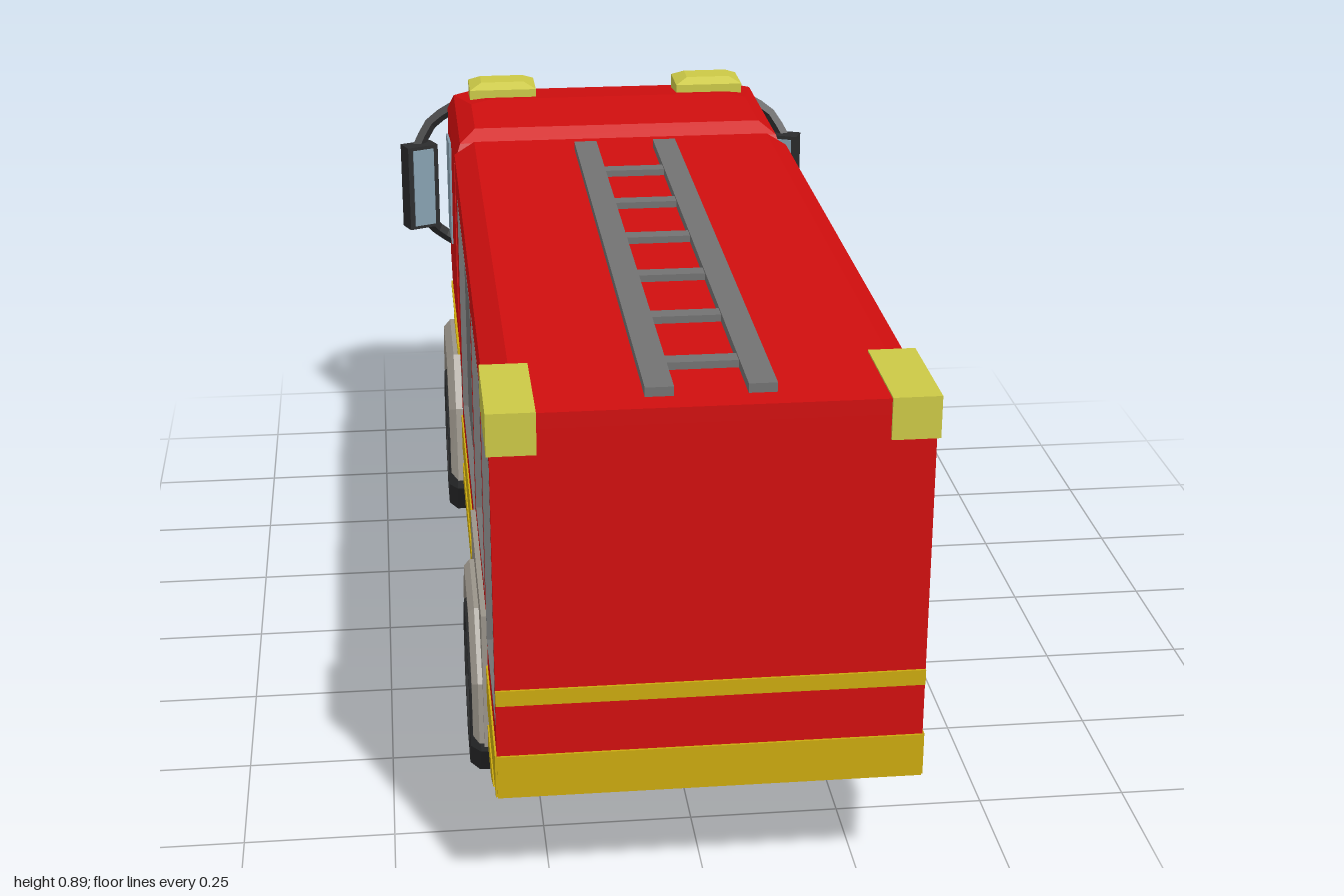
import * as THREE from 'three';

const mat = (name, color) => new THREE.MeshStandardMaterial({ name, color, flatShading: true });
const M = {
  red: mat('red paint', 0xd00e0e),
  yellow: mat('yellow stripe', 0xcaa90f),
  lamp: mat('lamp yellow', 0xcbc846),
  grey: mat('shutter grey', 0x727272),
  trim: mat('warm grey trim', 0x9a948a),
  black: mat('black plastic', 0x2b2c2d),
  glass: mat('window glass', 0x86a0af),
};

export function createModel() {
  const root = new THREE.Group();
  root.name = 'fireTruck';

  const add = (name, geo, material) => {
    const m = new THREE.Mesh(geo, material);
    m.name = name;
    root.add(m);
    return m;
  };
  // box given by its limits
  const box = (name, material, x0, x1, y0, y1, z0, z1) =>
    add(name, new THREE.BoxGeometry(x1 - x0, y1 - y0, z1 - z0)
      .translate((x0 + x1) / 2, (y0 + y1) / 2, (z0 + z1) / 2), material);
  // box on side s, x0 < x1 measured outward
  const sideBox = (name, material, s, x0, x1, y0, y1, z0, z1) =>
    box(name, material, s > 0 ? x0 : -x1, s > 0 ? x1 : -x0, y0, y1, z0, z1);

  const rect = (z0, z1, y0, y1) => [[z0, y0], [z1, y0], [z1, y1], [z0, y1]];
  const vecs = (pts) => pts.map(([a, b]) => new THREE.Vector2(a, b));
  // outline in (z, y), extruded in x from x0 to x1 on side s
  const slab = (name, material, pts, s, x0, x1, holes = [], bevel = 0) => {
    const shape = new THREE.Shape(vecs(pts));
    holes.forEach((h) => shape.holes.push(new THREE.Path(vecs(h))));
    const geo = new THREE.ExtrudeGeometry(shape, {
      depth: x1 - x0 - 2 * bevel, bevelEnabled: bevel > 0, bevelThickness: bevel,
      bevelSize: bevel, bevelOffset: -bevel, bevelSegments: 1,
    });
    geo.translate(0, 0, bevel).rotateY(-Math.PI / 2).translate(s > 0 ? x1 : -x0, 0, 0);
    return add(name, geo, material);
  };

  // stacked horizontal rings, lowest first, with closed ends
  const loft = (name, material, rings) => {
    const p = [];
    const n = rings[0].length;
    const tri = (a, b, c) => p.push(...a, ...b, ...c);
    for (let k = 0; k + 1 < rings.length; k++) {
      for (let i = 0; i < n; i++) {
        const j = (i + 1) % n, lo = rings[k], hi = rings[k + 1];
        tri(lo[i], lo[j], hi[j]);
        tri(lo[i], hi[j], hi[i]);
      }
    }
    const bottom = rings[0], top = rings[rings.length - 1];
    for (let i = 1; i + 1 < n; i++) {
      tri(top[0], top[i], top[i + 1]);
      tri(bottom[0], bottom[i + 1], bottom[i]);
    }
    const geo = new THREE.BufferGeometry();
    geo.setAttribute('position', new THREE.Float32BufferAttribute(p, 3));
    geo.computeVertexNormals();
    return add(name, geo, material);
  };
  // ring with cut front corners
  const ring = (y, back, front, w, cx = 0.04, cz = 0.035) => [
    [w, y, back], [w, y, front + cz], [w - cx, y, front],
    [-w + cx, y, front], [-w, y, front + cz], [-w, y, back]];
  const plain = (y, z0, z1, x0, x1) => [[x1, y, z1], [x1, y, z0], [x0, y, z0], [x0, y, z1]];

  // ---- equipment body
  const outline = [[0.995, 0.21], [0.995, 0.83], [-0.43, 0.83], [-0.43, 0.385],
    [-0.385, 0.385], [-0.40, 0.13], [0.80, 0.13]];
  const shutters = [rect(0.70, 0.98, 0.33, 0.77), rect(0.33, 0.66, 0.40, 0.77), rect(-0.32, 0.28, 0.33, 0.77)];
  slab('bodyCore', M.red, outline, 1, -0.322, 0.322);
  loft('bodyRoof', M.red, [plain(0.83, -0.43, 0.995, -0.335, 0.335), plain(0.855, -0.43, 0.995, -0.295, 0.295)]);
  box('rearArchBlock', M.trim, -0.344, 0.344, 0.129, 0.375, 0.28, 0.70);
  box('rearStripeWide', M.yellow, -0.335, 0.335, 0.21, 0.283, 0.99, 0.999);
  box('rearStripeNarrow', M.yellow, -0.335, 0.335, 0.372, 0.398, 0.99, 0.999);

  // ---- cab
  loft('cab', M.red, [
    ring(0.375, -0.47, -0.971, 0.334), ring(0.45, -0.46, -0.98, 0.336), ring(0.55, -0.455, -0.965, 0.337),
    ring(0.80, -0.465, -0.927, 0.335), ring(0.838, -0.478, -0.89, 0.322), ring(0.86, -0.51, -0.73, 0.29)]);
  loft('cabLowerFront', M.red, [ring(0.24, -0.74, -0.963, 0.332), ring(0.375, -0.74, -0.971, 0.334)]);
  box('cabChassis', M.trim, -0.334, 0.334, 0.129, 0.37, -0.82, -0.41);
  box('cabGapFiller', M.black, -0.334, 0.334, 0.24, 0.38, -0.50, -0.386);
  loft('bumper', M.trim, [
    ring(0.13, -0.78, -0.92, 0.335, 0.07, 0.06), ring(0.17, -0.78, -0.995, 0.35, 0.07, 0.07),
    ring(0.225, -0.78, -1.0, 0.35, 0.07, 0.07), ring(0.245, -0.78, -0.985, 0.34, 0.07, 0.07)]);
  box('bumperStep', M.trim, -0.18, 0.18, 0.24, 0.265, -0.985, -0.95);
  box('grilleSlot', M.black, -0.12, 0.12, 0.338, 0.365, -0.979, -0.96);
  // windscreen lies on the sloping front
  const screen = box('windscreen', M.glass, -0.285, 0.285, -0.107, 0.107, -0.004, 0.004);
  screen.position.set(0, 0.68, -0.9455);
  screen.rotation.x = Math.atan2(0.038, 0.25);
  loft('sunVisor', M.black, [
    ring(0.772, -0.90, -0.947, 0.325, 0.035, 0.03), ring(0.808, -0.89, -0.938, 0.325, 0.035, 0.03)]);

  // ---- ladder on the roof
  for (const s of [-1, 1]) sideBox('ladderRail', M.grey, s, 0.056, 0.10, 0.85, 0.87, -0.36, 0.95);
  for (let i = 0; i < 6; i++) {
    const z = -0.18 + i * 0.202;
    box('ladderRung', M.grey, -0.06, 0.06, 0.852, 0.867, z - 0.015, z + 0.015);
  }

  // octagonal wheel parts turned about the axle
  const turned = (name, material, pts, s, z) =>
    add(name, new THREE.LatheGeometry(vecs(pts), 8, Math.PI / 8)
      .rotateZ(-s * Math.PI / 2).translate(0, 0.145, z), material);

  const frontArch = [[-0.40, 0.13], [-0.43, 0.28], [-0.50, 0.375], [-0.715, 0.375], [-0.80, 0.30], [-0.815, 0.13],
    [-0.765, 0.13], [-0.765, 0.21], [-0.675, 0.305], [-0.535, 0.305], [-0.445, 0.21], [-0.445, 0.13]];
  const rearArch = [[0.69, 0.13], [0.685, 0.24], [0.59, 0.335], [0.40, 0.335], [0.305, 0.24], [0.30, 0.13],
    [0.335, 0.13], [0.335, 0.21], [0.425, 0.305], [0.565, 0.305], [0.655, 0.21], [0.655, 0.13]];

  for (const s of [-1, 1]) {
    // side panel with recessed roller shutters
    slab('bodySide', M.red, outline, s, 0.322, 0.335, shutters);
    for (const h of shutters) {
      const [[z0, y0], , [z1, y1]] = h;
      slab('shutter', M.grey, h, s, 0.32, 0.325);
      slab('shutterFrame', M.grey, h, s, 0.32, 0.3355, [rect(z0 + 0.004, z1 - 0.004, y0 + 0.004, y1 - 0.004)]);
    }

    // stripes
    slab('sideStripe', M.yellow, rect(0.70, 0.995, 0.21, 0.283), s, 0.333, 0.338);
    slab('sideStripe', M.yellow, [[0.70, 0.13], [0.80, 0.13], [0.90, 0.171], [0.70, 0.171]], s, 0.333, 0.338);
    slab('sideStripe', M.yellow, rect(-0.39, 0.28, 0.21, 0.283), s, 0.333, 0.338);
    slab('sideStripe', M.yellow, rect(-0.398, 0.28, 0.13, 0.171), s, 0.333, 0.338);
    slab('cabStripe', M.yellow, rect(-0.72, -0.50, 0.375, 0.39), s, 0.332, 0.339);
    slab('cabStripe', M.yellow, rect(-0.935, -0.72, 0.379, 0.387), s, 0.332, 0.338);

    // wheel arches and wheels
    slab('frontArch', M.trim, frontArch, s, 0.31, 0.362, [], 0.014);
    slab('rearArch', M.trim, rearArch, s, 0.32, 0.362, [], 0.01);
    for (const z of [0.495, -0.605]) {
      turned('tyre', M.black, [[0, 0.155], [0.157, 0.155], [0.157, 0.348], [0.143, 0.365],
        [0.113, 0.365], [0.102, 0.345]], s, z);
      turned('hub', M.trim, [[0.106, 0.346], [0.095, 0.356], [0.05, 0.349], [0, 0.349]], s, z);
      turned('axleCap', M.black, [[0.028, 0.34], [0.028, 0.358], [0, 0.358]], s, z);
    }

    // cab side window and lamps
    slab('sideWindow', M.glass, [[-0.668, 0.785], [-0.675, 0.56], [-0.88, 0.532], [-0.90, 0.74]], s, 0.332, 0.34);
    sideBox('indicator', M.lamp, s, 0.18, 0.215, 0.437, 0.465, -0.988, -0.96);
    sideBox('headlightSurround', M.black, s, 0.20, 0.305, 0.235, 0.285, -0.98, -0.92);
    sideBox('headlight', M.lamp, s, 0.225, 0.29, 0.248, 0.28, -0.986, -0.93);
    const x0 = s > 0 ? 0.15 : -0.29, x1 = x0 + 0.14;
    loft('roofBeacon', M.lamp, [plain(0.835, -0.85, -0.755, x0, x1), plain(0.873, -0.85, -0.755, x0, x1),
      plain(0.885, -0.83, -0.775, x0 + 0.025, x1 - 0.025)]);
    sideBox('rearCornerLamp', M.lamp, s, 0.265, 0.34, 0.79, 0.858, 0.80, 1.0);

    // mirror with two arms
    const mirror = new THREE.Group();
    mirror.name = 'mirror';
    const housing = new THREE.Mesh(new THREE.BoxGeometry(0.07, 0.185, 0.04), M.black);
    housing.name = 'mirrorHousing';
    const glass = new THREE.Mesh(new THREE.BoxGeometry(0.048, 0.17, 0.006), M.glass);
    glass.name = 'mirrorGlass';
    glass.position.z = 0.02;
    mirror.add(housing, glass);
    mirror.position.set(s * 0.4, 0.636, -0.862);
    mirror.rotation.y = -s * 0.4;
    root.add(mirror);
    const arm = (pts) => add('mirrorArm', new THREE.TubeGeometry(new THREE.CatmullRomCurve3(
      pts.map(([x, y, z]) => new THREE.Vector3(s * x, y, z))), 4, 0.014, 5), M.black);
    arm([[0.322, 0.80, -0.90], [0.372, 0.768, -0.895], [0.405, 0.715, -0.87]]);
    arm([[0.328, 0.495, -0.91], [0.365, 0.525, -0.90], [0.39, 0.56, -0.875]]);
  }
  return root;
}
